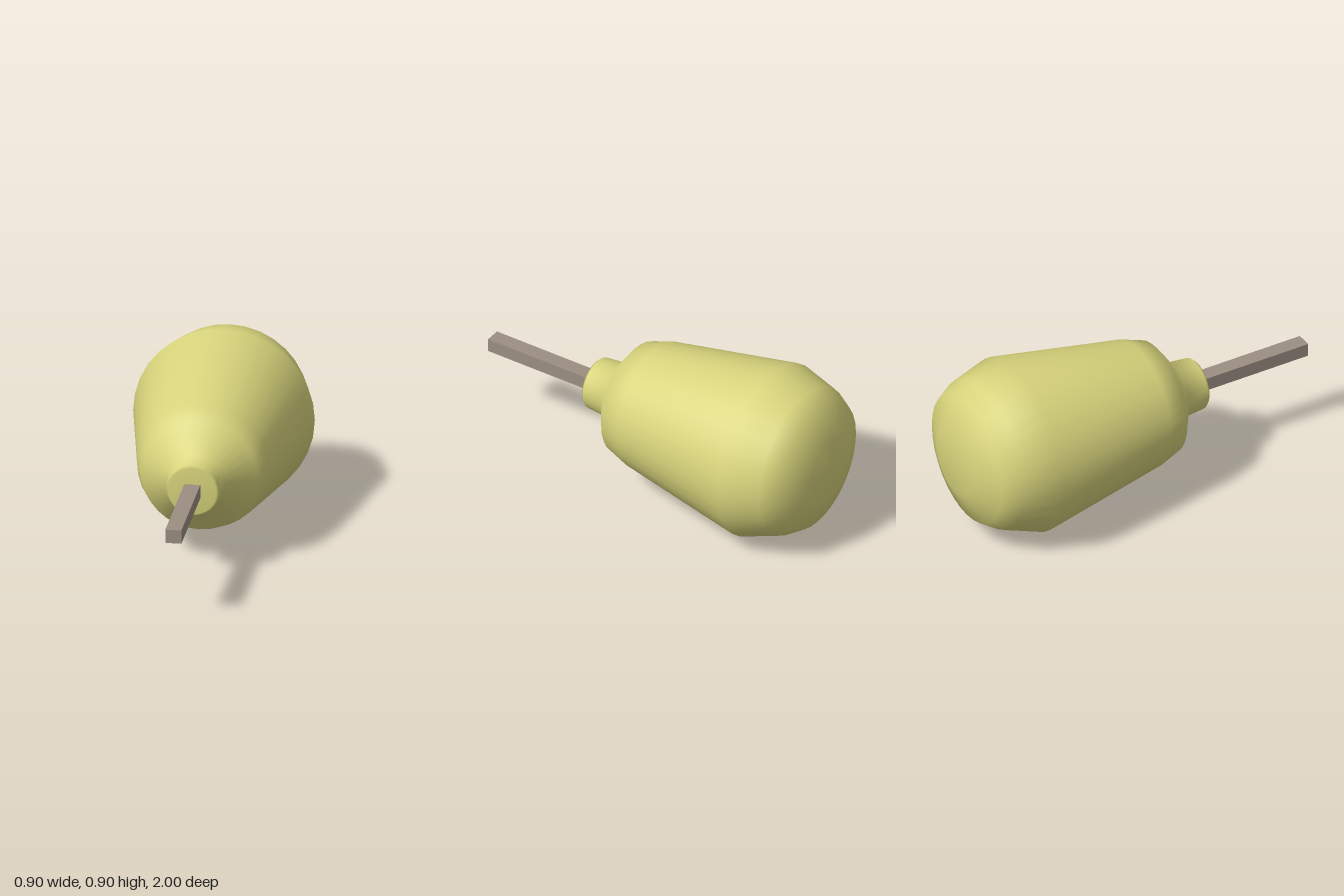
import * as THREE from 'three';

const CENTRE_Y = 0.454;

export function createModel() {
  const group = new THREE.Group();
  const handleMat = new THREE.MeshStandardMaterial({ color: 0xd8d47c });
  const bladeMat = new THREE.MeshStandardMaterial({ color: 0x9c8f82 });

  // bulbous handle: [z, radius] profile from the butt to the neck
  const profile = [
    [-1, 0], [-1, 0.168], [-0.93, 0.336], [-0.84, 0.39], [-0.64, 0.452],
    [0.05, 0.327], [0.16, 0.29], [0.26, 0.142], [0.375, 0.132],
    [0.388, 0.12], [0.388, 0],
  ].map(([z, r]) => new THREE.Vector2(r, z));
  const handleGeo = new THREE.LatheGeometry(profile, 32);
  handleGeo.rotateX(Math.PI / 2);

  // the butt rises slightly behind the widest ring
  const pos = handleGeo.attributes.position;
  for (let i = 0; i < pos.count; i++) {
    const back = Math.max(0, -0.64 - pos.getZ(i));
    pos.setY(i, pos.getY(i) + back * 0.062);
  }
  const handle = new THREE.Mesh(handleGeo, handleMat);
  handle.name = 'handle';
  handle.position.y = CENTRE_Y;
  group.add(handle);

  // square shaft, sunk into the neck
  const shaft = new THREE.Mesh(new THREE.BoxGeometry(0.08, 0.07, 0.7), bladeMat);
  shaft.name = 'shaft';
  shaft.position.set(0, 0.455, 0.65);
  group.add(shaft);

  return group;
}
